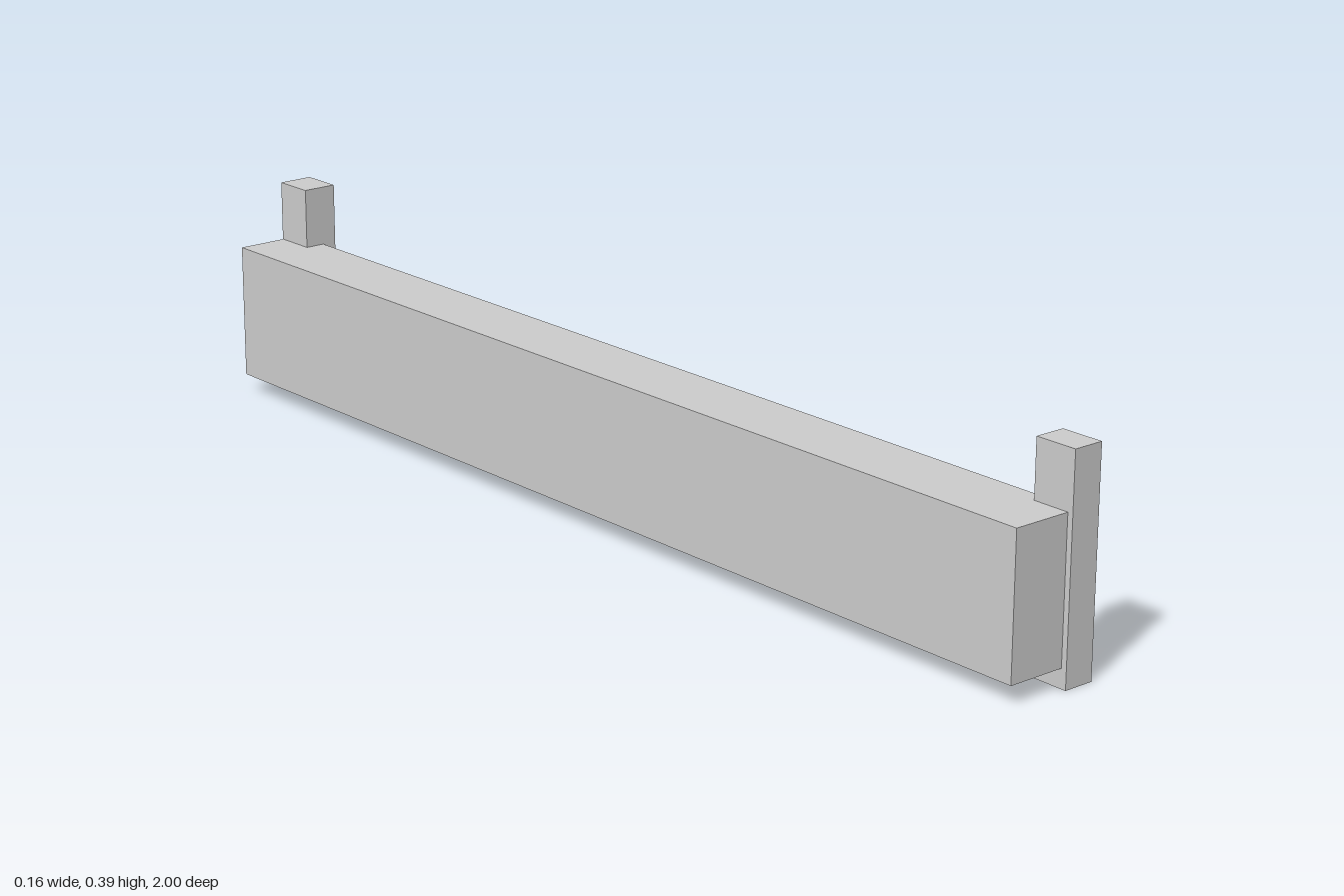
import * as THREE from 'three';

const material = new THREE.MeshStandardMaterial({ color: 0xcccccc, flatShading: true });

// Box given by its extents along each axis
function block(name, [x0, x1], [y0, y1], [z0, z1]) {
  const mesh = new THREE.Mesh(new THREE.BoxGeometry(x1 - x0, y1 - y0, z1 - z0), material);
  mesh.position.set((x0 + x1) / 2, (y0 + y1) / 2, (z0 + z1) / 2);
  mesh.name = name;
  return mesh;
}

export function createModel() {
  const model = new THREE.Group();
  model.name = 'railWithPosts';
  model.add(
    // Long horizontal beam
    block('beam', [-0.082, 0.048], [0.035, 0.281], [-0.999, 0.99]),
    // Upright posts let into the beam's left side at either end
    block('frontPost', [0.025, 0.081], [0.002, 0.381], [0.922, 1]),
    block('backPost', [0.011, 0.075], [0.011, 0.39], [-1, -0.922]),
  );
  // Rest the lowest post on the ground
  model.children.forEach((part) => { part.position.y -= 0.002; });
  return model;
}
